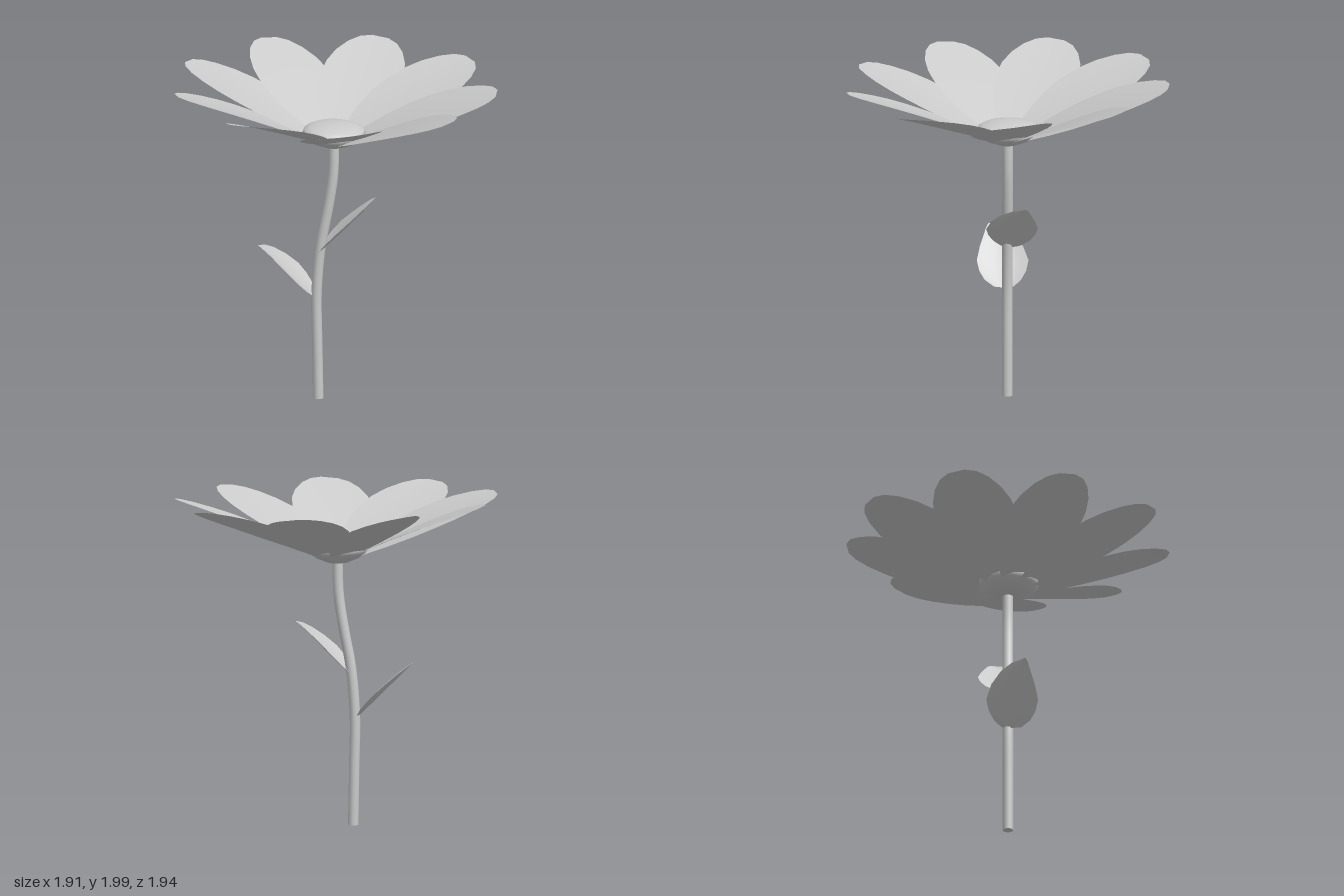
import * as THREE from 'three';

const solid = new THREE.MeshStandardMaterial({ color: 0xcccccc });
const thin = new THREE.MeshStandardMaterial({ color: 0xcccccc, side: THREE.DoubleSide });

function part(name, geometry, material) {
  const mesh = new THREE.Mesh(geometry, material);
  mesh.name = name;
  return mesh;
}

// Thin sheet: point(row, s) gives a position, s runs from -1 to 1 across each row
function sheet(rows, cols, point) {
  const pos = [], index = [];
  rows.forEach((row, i) => {
    for (let j = 0; j <= cols; j++) {
      pos.push(...point(row, (2 * j) / cols - 1));
      if (i && j) {
        const d = i * (cols + 1) + j, b = d - cols - 1;
        index.push(b - 1, b, d, b - 1, d, d - 1);
      }
    }
  });
  const g = new THREE.BufferGeometry();
  g.setAttribute('position', new THREE.Float32BufferAttribute(pos, 3));
  g.setIndex(index);
  g.computeVertexNormals();
  return g;
}

// Petal along +x: [distance from centre, half width]; one edge rolls up over its neighbour
function petalGeometry() {
  const rows = [
    [0.07, 0.05], [0.16, 0.11], [0.27, 0.17], [0.42, 0.225], [0.55, 0.243],
    [0.66, 0.24], [0.77, 0.215], [0.87, 0.17], [0.94, 0.115], [0.975, 0.05],
  ];
  return sheet(rows, 6, ([r, w], s) => {
    const z = w * s;
    return [r, -0.085 + 0.46 * r - 0.07 * r * r - 0.11 * z + 0.2 * z * z, z];
  });
}

// Leaf rising toward +x from its base: [x and y rise, centre z, half width]
function leafGeometry() {
  const rows = [
    [0, -0.02, 0.06], [0.03, -0.025, 0.11], [0.07, -0.025, 0.14], [0.12, -0.025, 0.155],
    [0.19, -0.03, 0.13], [0.25, -0.045, 0.09], [0.29, -0.07, 0.05], [0.315, -0.1, 0.004],
  ];
  return sheet(rows, 6, ([d, z, w], s) => {
    const lift = 0.13 * w * s * s;
    return [d - lift, d + lift, z + w * s];
  });
}

export function createModel() {
  const flower = new THREE.Group();
  flower.name = 'flower';

  // Bent stem with a closed foot
  const path = new THREE.CatmullRomCurve3([
    [-0.12, 0], [-0.126, 0.35], [-0.13, 0.66], [-0.106, 0.95],
    [-0.06, 1.2], [-0.031, 1.4], [-0.025, 1.62],
  ].map(([x, y]) => new THREE.Vector3(x, y, 0)));
  flower.add(part('stem', new THREE.TubeGeometry(path, 24, 0.032, 10), solid));
  const foot = part('stemFoot', new THREE.CircleGeometry(0.032, 10), solid);
  foot.rotation.x = Math.PI / 2;
  foot.position.set(-0.12, 0, 0);
  flower.add(foot);

  // Two leaves, half a turn apart
  const leaf = leafGeometry();
  const upper = part('upperLeaf', leaf, thin);
  upper.position.set(-0.1, 0.925, 0);
  const lower = part('lowerLeaf', leaf, thin);
  lower.position.set(-0.155, 0.66, 0);
  lower.rotation.y = Math.PI;
  flower.add(upper, lower);

  // Slightly tilted flower head
  const head = new THREE.Group();
  head.name = 'flowerHead';
  head.position.set(-0.025, 1.67, 0);
  head.rotation.set(0.012, 0, -0.016);
  flower.add(head);

  // Rounded centre disc with its cup below
  const profile = [
    [0, -0.085], [0.06, -0.083], [0.13, -0.055], [0.175, -0.022], [0.19, 0.003],
    [0.18, 0.022], [0.15, 0.038], [0.1, 0.05], [0.05, 0.055], [0, 0.057],
  ].map(([x, y]) => new THREE.Vector2(x, y));
  head.add(part('centreDisc', new THREE.LatheGeometry(profile, 18), solid));

  // Ring of nine overlapping petals
  const petal = petalGeometry();
  for (let i = 0; i < 9; i++) {
    const p = part('petal' + (i + 1), petal, thin);
    p.rotation.y = -((i * 40 - 1) * Math.PI) / 180;
    head.add(p);
  }
  return flower;
}
